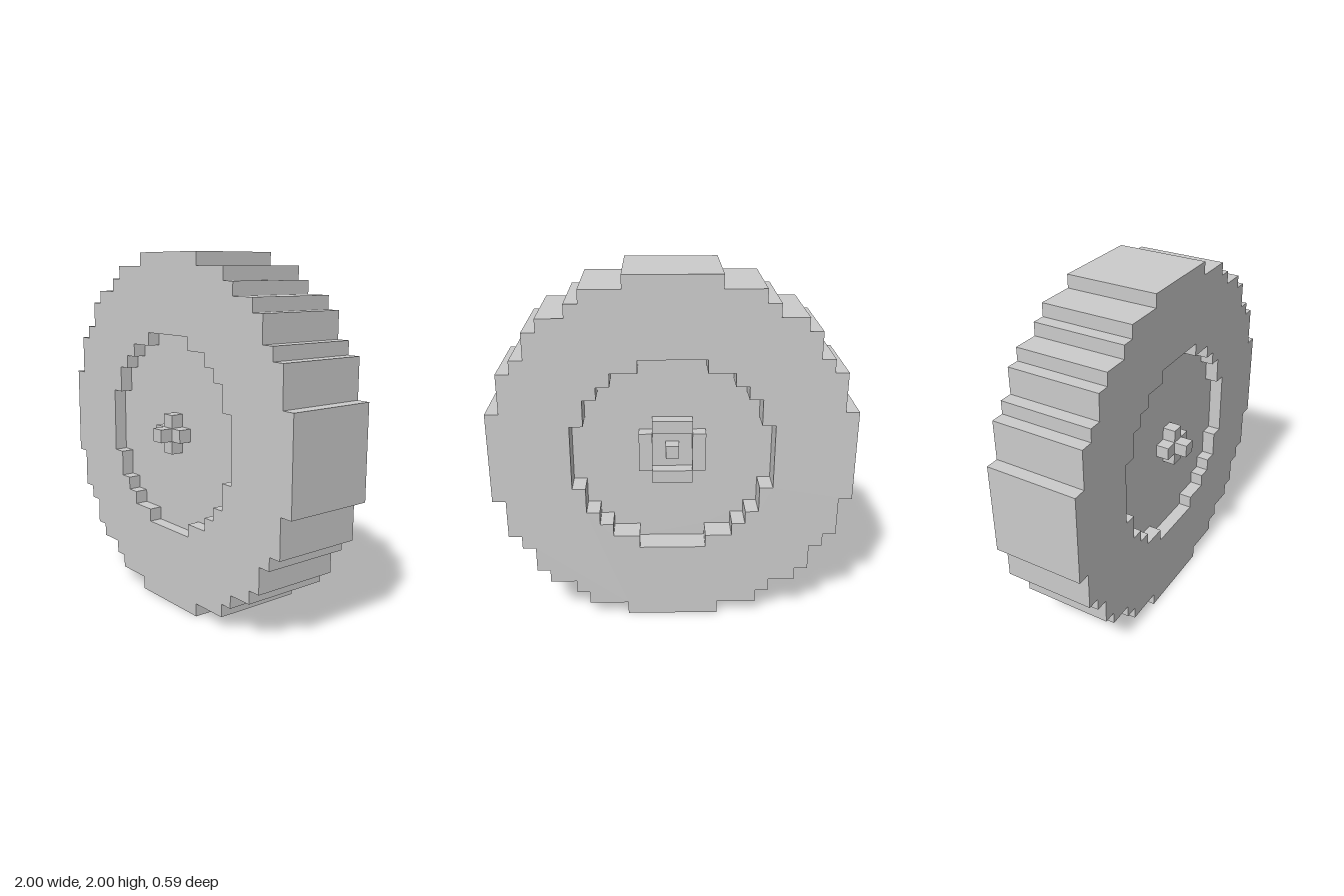
import * as THREE from 'three';

const V = 2 / 27; // edge length of one block
const material = new THREE.MeshStandardMaterial({ color: 0xcccccc, flatShading: true });

// Counter-clockwise corners of a stepped disc; rows are [halfWidth, topY] in blocks,
// from the top row to the widest row
function steppedCorners(rows) {
  const quarter = [];
  rows.forEach(([w, y], i) => {
    if (i > 0) quarter.push([rows[i - 1][0], y]);
    quarter.push([w, y]);
  });
  const right = [...quarter.map(([x, y]) => [x, -y]), ...quarter.slice().reverse()];
  const left = right.map(([x, y]) => [-x, y]).reverse();
  return [...right, ...left].map(([x, y]) => new THREE.Vector2(x * V, y * V));
}

// Extrude a shape between two depths given in blocks
function slab(name, shape, z0, z1) {
  const geometry = new THREE.ExtrudeGeometry(shape, { depth: (z1 - z0) * V, bevelEnabled: false });
  geometry.translate(0, 0, z0 * V);
  const mesh = new THREE.Mesh(geometry, material);
  mesh.name = name;
  return mesh;
}

// Box with centre x, y, size w, h and depth range, all in blocks
function block(name, x, y, w, h, z0, z1) {
  const mesh = new THREE.Mesh(new THREE.BoxGeometry(w * V, h * V, (z1 - z0) * V), material);
  mesh.position.set(x * V, y * V, ((z0 + z1) / 2) * V);
  mesh.name = name;
  return mesh;
}

export function createModel() {
  const model = new THREE.Group();
  model.name = 'wheel';
  const wheel = new THREE.Group();
  wheel.name = 'wheelBody';
  wheel.position.y = 1;
  model.add(wheel);

  const outer = [[3.5, 13.5], [6.5, 12.5], [7.5, 11.5], [9.5, 10.5], [10.5, 9.5], [11.5, 7.5], [12.5, 6.5], [13.5, 3.5]];
  const inner = [[2.5, 7.5], [4.5, 6.5], [5.5, 5.5], [6.5, 4.5], [7.5, 2.5]];

  // Tyre ring
  const tyre = new THREE.Shape(steppedCorners(outer));
  tyre.holes.push(new THREE.Path(steppedCorners(inner)));
  wheel.add(slab('tyre', tyre, -4, 3));

  // Rim disc, recessed one block at the front and two at the back
  wheel.add(slab('rimDisc', new THREE.Shape(steppedCorners(inner)), -2, 2));

  // Front hub: protruding pin with four nuts
  wheel.add(block('frontHubPin', 0, 0, 1, 1, 2, 4));
  // Back hub: axle stub inside a ring of four bars
  wheel.add(block('axleStub', 0, 0, 1, 1, -3, -2));
  for (const [dx, dy] of [[1, 0], [-1, 0], [0, 1], [0, -1]]) {
    wheel.add(block('frontHubNut', dx, dy, 1, 1, 2, 3));
    wheel.add(block('axleCollarBar', 2 * dx, 2 * dy, dx ? 1 : 3, dy ? 1 : 3, -3, -2));
  }
  return model;
}
